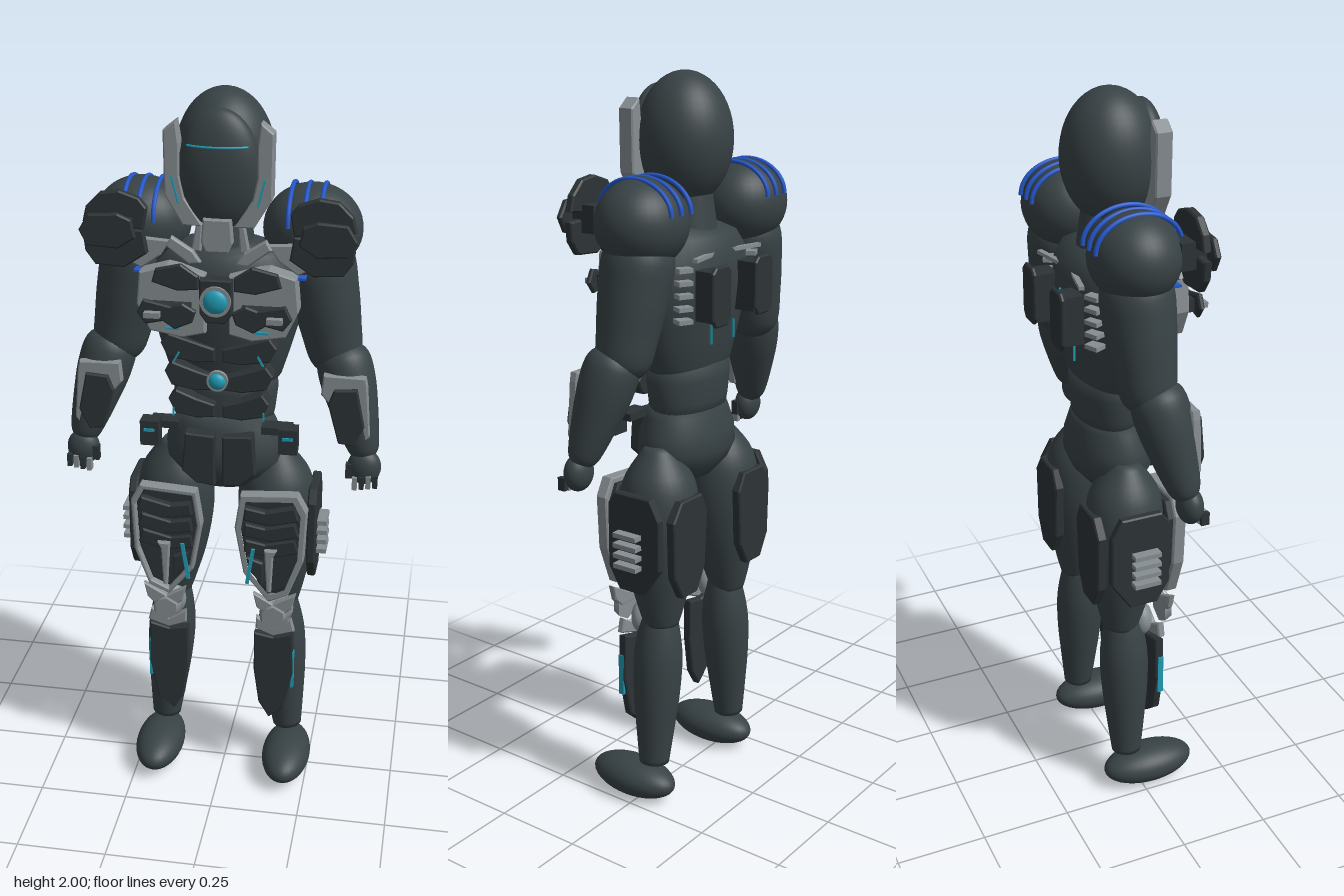
import * as THREE from 'three';

const make = (name, color, side = THREE.FrontSide) => new THREE.MeshStandardMaterial({ name, color, side });
const V = (x, y, z) => new THREE.Vector3(x, y, z);

export function createModel() {
  const root = new THREE.Group();
  root.name = 'armouredFigure';
  const suit = make('suit charcoal', 0x384245);
  const armour = make('armour dark', 0x2d3336);
  const steel = make('steel grey', 0x878e92);
  const teal = make('glow teal', 0x1f9db5);
  const blue = make('band blue', 0x2458cc);

  const add = (name, geo, mat, x = 0, y = 0, z = 0) => {
    const m = new THREE.Mesh(geo, mat);
    m.name = name;
    m.position.set(x, y, z);
    root.add(m);
    return m;
  };
  const box = (name, mat, x, y, z, w, h, d) => add(name, new THREE.BoxGeometry(w, h, d), mat, x, y, z);
  const ball = (name, mat, x, y, z, rx, ry, rz) =>
    add(name, new THREE.SphereGeometry(1, 36, 24).scale(rx, ry, rz), mat, x, y, z);

  // Bevelled slab cut from an outline, spanning z0..z1
  const slab = (pts, z0, z1, s = 1, holes = []) => {
    const b = Math.min(0.004, (z1 - z0) * 0.3);
    const flip = (list) => list.map(([x, y]) => new THREE.Vector2(x * s, y));
    const shape = new THREE.Shape(flip(pts));
    holes.forEach((h) => shape.holes.push(new THREE.Path(flip(h))));
    return new THREE.ExtrudeGeometry(shape, {
      depth: z1 - z0 - 2 * b, bevelEnabled: true, bevelThickness: b, bevelSize: b, bevelOffset: -b, bevelSegments: 1,
    }).translate(0, 0, z0 + b);
  };
  const plate = (name, mat, s, z0, z1, pts, holes) => add(name, slab(pts, z0, z1, s, holes), mat);

  // Round body section: profile of [radius, y], squashed in depth
  const turned = (name, pts, depth, z) => add(name, new THREE.LatheGeometry(
    pts.map(([r, y]) => new THREE.Vector2(r, y)), 40).scale(1, 1, depth), suit, 0, 0, z);

  // Limb from a to b: profile of [fraction, radius], capped at both ends
  const limb = (name, a, b, prof, depth = 1) => {
    const len = a.distanceTo(b);
    const spline = new THREE.SplineCurve(prof.map(([t, r]) => new THREE.Vector2(r, t * len)));
    const pts = spline.getPoints(24);
    pts.forEach((p) => { p.x = Math.max(p.x, 0); });
    pts.unshift(new THREE.Vector2(0, pts[0].y));
    pts.push(new THREE.Vector2(0, pts[pts.length - 1].y));
    const m = add(name, new THREE.LatheGeometry(pts, 32).scale(1, 1, depth), suit, a.x, a.y, a.z);
    m.quaternion.setFromUnitVectors(V(0, 1, 0), b.clone().sub(a).normalize());
  };

  // Head, mask and neck
  ball('head', suit, 0, 1.83, -0.008, 0.126, 0.17, 0.126);
  ball('faceMask', suit, 0, 1.815, 0.078, 0.102, 0.15, 0.052);
  const visor = [];
  for (let i = -6; i <= 6; i++) {
    const x = i * 0.0125;
    visor.push(V(x, 1.878, 0.079 + 0.052 * Math.sqrt(0.822 - (x / 0.102) ** 2)));
  }
  add('visorLine', new THREE.TubeGeometry(new THREE.CatmullRomCurve3(visor), 24, 0.003, 6), teal);
  add('neck', new THREE.CylinderGeometry(0.06, 0.085, 0.18, 28), suit, 0, 1.62, -0.02);
  plate('chinGuard', steel, 1, 0.095, 0.122, [[-0.035, 1.7], [0.035, 1.7], [0.04, 1.64], [0.028, 1.615], [-0.028, 1.615], [-0.04, 1.64]]);

  // Chest, waist and hips
  turned('chest', [[0, 1.225], [0.13, 1.225], [0.15, 1.25], [0.172, 1.32], [0.195, 1.4], [0.208, 1.47], [0.2, 1.54],
    [0.165, 1.59], [0.09, 1.615], [0, 1.62]], 0.6, -0.02);
  turned('waist', [[0, 1.1], [0.125, 1.1], [0.135, 1.15], [0.142, 1.21], [0.138, 1.27], [0, 1.29]], 0.65, -0.02);
  turned('hips', [[0, 0.925], [0.09, 0.93], [0.14, 0.97], [0.165, 1.01], [0.16, 1.06], [0.14, 1.11], [0.123, 1.145], [0, 1.155]], 0.68, -0.015);

  // Chest and belly lights
  plate('coreHousing', armour, 1, 0.1, 0.14, [[-0.042, 1.55], [0.042, 1.55], [0.042, 1.46], [0.025, 1.435], [-0.025, 1.435], [-0.042, 1.46]]);
  const disc = (name, mat, r, y, z, d) => add(name, new THREE.CylinderGeometry(r, r, d, 20).rotateX(Math.PI / 2), mat, 0, y, z);
  disc('coreRing', steel, 0.04, 1.495, 0.14, 0.014);
  ball('chestCore', teal, 0, 1.495, 0.146, 0.031, 0.031, 0.015);
  disc('bellyRing', steel, 0.028, 1.27, 0.115, 0.012);
  ball('bellyLight', teal, 0, 1.27, 0.12, 0.022, 0.022, 0.014);
  box('spineLight', teal, 0, 1.44, -0.146, 0.005, 0.12, 0.006);

  for (const s of [1, -1]) {
    // Cheek guards and neck braces
    plate('cheekGuard', steel, s, 0.055, 0.1, [[0.105, 1.935], [0.137, 1.91], [0.135, 1.75], [0.09, 1.675], [0.04, 1.675],
      [0.085, 1.745], [0.097, 1.8], [0.097, 1.88]]);
    const cheekLight = box('cheekLight', teal, s * 0.108, 1.765, 0.102, 0.005, 0.07, 0.004);
    cheekLight.rotation.z = -s * 0.25;
    plate('neckBrace', steel, s, 0.05, 0.07, [[0.045, 1.69], [0.06, 1.68], [0.075, 1.6], [0.05, 1.6]]);

    // Collar and layered breast plates
    plate('collarPlate', steel, s, 0.08, 0.1, [[0.065, 1.61], [0.12, 1.645], [0.135, 1.62], [0.075, 1.575], [0.045, 1.58]]);
    plate('breastTrim', steel, s, 0.065, 0.12, [[0.03, 1.555], [0.075, 1.565], [0.13, 1.575], [0.2, 1.555], [0.208, 1.47],
      [0.175, 1.4], [0.09, 1.385], [0.03, 1.4]]);
    plate('upperBreastPlate', armour, s, 0.12, 0.135, [[0.045, 1.555], [0.09, 1.585], [0.155, 1.57], [0.165, 1.535], [0.1, 1.515], [0.045, 1.52]]);
    plate('breastPlate', armour, s, 0.155, 0.17, [[0.045, 1.475], [0.08, 1.495], [0.11, 1.485], [0.18, 1.5], [0.197, 1.465],
      [0.175, 1.435], [0.13, 1.445], [0.1, 1.425], [0.055, 1.445]]);
    box('breastMount', armour, s * 0.115, 1.465, 0.137, 0.1, 0.035, 0.04);
    box('breastClip', steel, s * 0.155, 1.465, 0.179, 0.04, 0.014, 0.02);
    box('breastLight', teal, s * 0.115, 1.41, 0.122, 0.035, 0.006, 0.006);

    // Belly plates, three rows
    for (let i = 0; i < 3; i++) {
      const y = 1.365 - i * 0.078, w = 0.152 - i * 0.009;
      plate('bellyPlate', armour, s, 0.045, 0.1, [[0.01, y - 0.015], [0.06, y], [w - 0.02, y + 0.022], [w, y - 0.005],
        [w - 0.018, y - 0.043], [0.06, y - 0.055], [0.01, y - 0.05]]);
    }
    box('bellyStripe', teal, s * 0.11, 1.325, 0.102, 0.005, 0.03, 0.004).rotation.z = s * 0.5;
    box('bellyStripe', teal, s * 0.12, 1.17, 0.102, 0.005, 0.022, 0.004);

    // Hip plates and belt pouches
    plate('hipPlate', armour, s, 0.06, 0.105, [[0.01, 1.105], [0.09, 1.11], [0.1, 1.0], [0.06, 0.965], [0.01, 0.96]]);
    box('pouch', armour, s * 0.185, 1.105, 0.088, 0.05, 0.07, 0.045);
    box('pouchStrap', armour, s * 0.15, 1.12, 0.055, 0.08, 0.02, 0.05);
    box('pouchLight', teal, s * 0.185, 1.115, 0.112, 0.028, 0.008, 0.005);

    // Back packs, vents and lights
    box('backPack', armour, s * 0.088, 1.455, -0.16, 0.065, 0.13, 0.06);
    plate('backPackCover', armour, s, -0.197, -0.184, [[0.055, 1.52], [0.07, 1.535], [0.12, 1.535], [0.135, 1.52],
      [0.135, 1.4], [0.12, 1.38], [0.07, 1.38], [0.055, 1.4]]);
    const rail = box('backRail', steel, s * 0.08, 1.55, -0.132, 0.13, 0.01, 0.014);
    rail.rotation.y = s * 0.2;
    for (let i = 0; i < 5; i++) box('backVent', steel, s * 0.15, 1.525 - i * 0.033, -0.113, 0.04, 0.012, 0.035).rotation.y = -s * 0.45;
    box('backLight', teal, s * 0.05, 1.34, -0.129, 0.004, 0.05, 0.006);

    // Shoulder with blue bands
    ball('shoulder', suit, s * 0.222, 1.645, -0.04, 0.128, 0.115, 0.115);
    for (const x of [0.17, 0.21, 0.25]) {
      const arc = [];
      for (let i = 0; i <= 16; i++) {
        const a = (i / 16) * Math.PI;
        arc.push(V(s * x, 1.672 + 0.085 * Math.sin(a), -0.04 + 0.113 * Math.cos(a)));
      }
      add('shoulderBand', new THREE.TubeGeometry(new THREE.CatmullRomCurve3(arc), 32, 0.006, 8), blue);
    }

    // Overlapping shoulder guard
    plate('shoulderGuardTop', armour, s, 0.082, 0.105, [[0.18, 1.715], [0.2, 1.74], [0.25, 1.757], [0.3, 1.75], [0.335, 1.715], [0.345, 1.675], [0.19, 1.66]]);
    plate('shoulderGuardMiddle', armour, s, 0.113, 0.13, [[0.215, 1.69], [0.25, 1.705], [0.325, 1.7], [0.35, 1.66], [0.33, 1.62], [0.25, 1.615], [0.205, 1.645]]);
    plate('shoulderGuardLower', armour, s, 0.085, 0.108, [[0.19, 1.66], [0.345, 1.65], [0.34, 1.6], [0.315, 1.565], [0.24, 1.56], [0.18, 1.6]]);
    box('shoulderGuardMount', armour, s * 0.26, 1.655, 0.08, 0.09, 0.07, 0.07);
    plate('shoulderGuardTrim', steel, s, 0.07, 0.088, [[0.125, 1.63], [0.19, 1.635], [0.24, 1.575], [0.2, 1.555], [0.15, 1.59]]);
    box('armpitBand', blue, s * 0.195, 1.547, 0.075, 0.05, 0.006, 0.03);

    // Arm
    limb('upperArm', V(s * 0.302, 1.26, -0.03), V(s * 0.22, 1.65, -0.045),
      [[0, 0.035], [0.1, 0.068], [0.3, 0.08], [0.55, 0.09], [0.8, 0.09], [1, 0.04]]);
    limb('forearm', V(s * 0.385, 1.05, 0.035), V(s * 0.3, 1.345, -0.025),
      [[0, 0.03], [0.08, 0.043], [0.35, 0.06], [0.65, 0.073], [0.88, 0.068], [1, 0.03]]);
    plate('forearmGuard', steel, s, 0.045, 0.07, [[0.27, 1.285], [0.38, 1.283], [0.385, 1.26], [0.397, 1.12], [0.375, 1.085],
      [0.32, 1.095], [0.3, 1.19], [0.265, 1.23]]);
    plate('forearmPanel', armour, s, 0.07, 0.085, [[0.3, 1.25], [0.36, 1.255], [0.382, 1.15], [0.355, 1.095], [0.315, 1.1], [0.285, 1.21]]);

    // Hand with fingers
    ball('hand', suit, s * 0.384, 1.022, 0.045, 0.045, 0.05, 0.034);
    for (let i = 0; i < 4; i++) box('finger', i % 2 ? armour : steel, s * (0.362 + i * 0.018), 0.985 + i * 0.003, 0.072, 0.013, 0.035, 0.022);
    box('thumb', armour, s * 0.345, 1.015, 0.06, 0.018, 0.04, 0.02);

    // Thigh with framed front armour
    limb('thigh', V(s * 0.158, 0.54, -0.045), V(s * 0.135, 1.04, -0.02),
      [[0, 0.048], [0.12, 0.066], [0.35, 0.094], [0.6, 0.108], [0.82, 0.095], [1, 0.035]]);
    const frame = [[0.06, 0.94], [0.215, 0.95], [0.242, 0.9], [0.235, 0.75], [0.195, 0.64], [0.14, 0.615], [0.07, 0.7], [0.045, 0.84]];
    const inner = frame.map(([x, y]) => [0.145 + (x - 0.145) * 0.86, 0.79 + (y - 0.79) * 0.9]);
    plate('thighBase', armour, s, 0.06, 0.095, inner);
    plate('thighFrame', steel, s, 0.075, 0.11, frame, [inner]);
    for (let i = 0; i < 3; i++) {
      const y = 0.915 - i * 0.052;
      plate('thighScale', armour, s, 0.1, 0.125 - i * 0.006, [[0.075, y - 0.005], [0.13, y - 0.015], [0.21, y + 0.005],
        [0.222, y - 0.035], [0.15, y - 0.055], [0.07, y - 0.042]]);
    }
    plate('thighLowerPlate', armour, s, 0.1, 0.118, [[0.08, 0.755], [0.125, 0.74], [0.125, 0.67], [0.09, 0.71]]);
    plate('thighBlade', steel, s, 0.118, 0.136, [[0.13, 0.79], [0.165, 0.79], [0.155, 0.77], [0.15, 0.66], [0.138, 0.66]]);
    box('thighLight', teal, s * 0.09, 0.73, 0.12, 0.01, 0.11, 0.006).rotation.z = -s * 0.15;

    // Side and rear thigh plates, louvres
    const sidePts = [[-0.055, 0.9], [-0.03, 0.935], [0.085, 0.935], [0.115, 0.88], [0.115, 0.74], [0.06, 0.66], [-0.02, 0.66], [-0.055, 0.72]];
    add('sidePlate', slab(sidePts, 0.236, 0.26, s).rotateY(s * Math.PI / 2), armour);
    for (let i = 0; i < 4; i++) box('sideLouvre', steel, s * 0.272, 0.825 - i * 0.029, -0.02, 0.03, 0.013, 0.075);
    plate('rearPlate', armour, s, -0.14, -0.112, [[0.1, 0.92], [0.19, 0.92], [0.225, 0.87], [0.22, 0.71], [0.185, 0.645], [0.12, 0.645], [0.085, 0.71], [0.075, 0.87]]);

    // Knee
    ball('knee', steel, s * 0.155, 0.545, 0.015, 0.045, 0.052, 0.032);
    plate('kneeGuard', steel, s, 0.075, 0.095, [[0.095, 0.63], [0.15, 0.6], [0.215, 0.635], [0.205, 0.59], [0.18, 0.565], [0.13, 0.565], [0.105, 0.585]]);
    add('kneeCap', new THREE.CylinderGeometry(0.034, 0.045, 0.025, 6).rotateX(Math.PI / 2), steel, s * 0.152, 0.56, 0.09);
    plate('kneeLowerGuard', steel, s, 0.05, 0.07, [[0.1, 0.54], [0.15, 0.51], [0.2, 0.54], [0.21, 0.5], [0.15, 0.48], [0.1, 0.5]]);

    // Shin, shin guard and foot
    limb('shin', V(s * 0.183, 0.122, -0.036), V(s * 0.15, 0.6, -0.035),
      [[0, 0.042], [0.2, 0.053], [0.45, 0.065], [0.68, 0.067], [0.88, 0.052], [1, 0.032]]);
    plate('shinGuard', armour, s, 0.042, 0.068, [[0.095, 0.485], [0.15, 0.475], [0.205, 0.49], [0.21, 0.36], [0.185, 0.24], [0.14, 0.2], [0.11, 0.25], [0.095, 0.36]]);
    box('shinLight', teal, s * 0.206, 0.37, 0.058, 0.008, 0.12, 0.016);
    ball('foot', suit, s * 0.19, 0.056, 0.03, 0.07, 0.054, 0.135);
  }
  return root;
}
